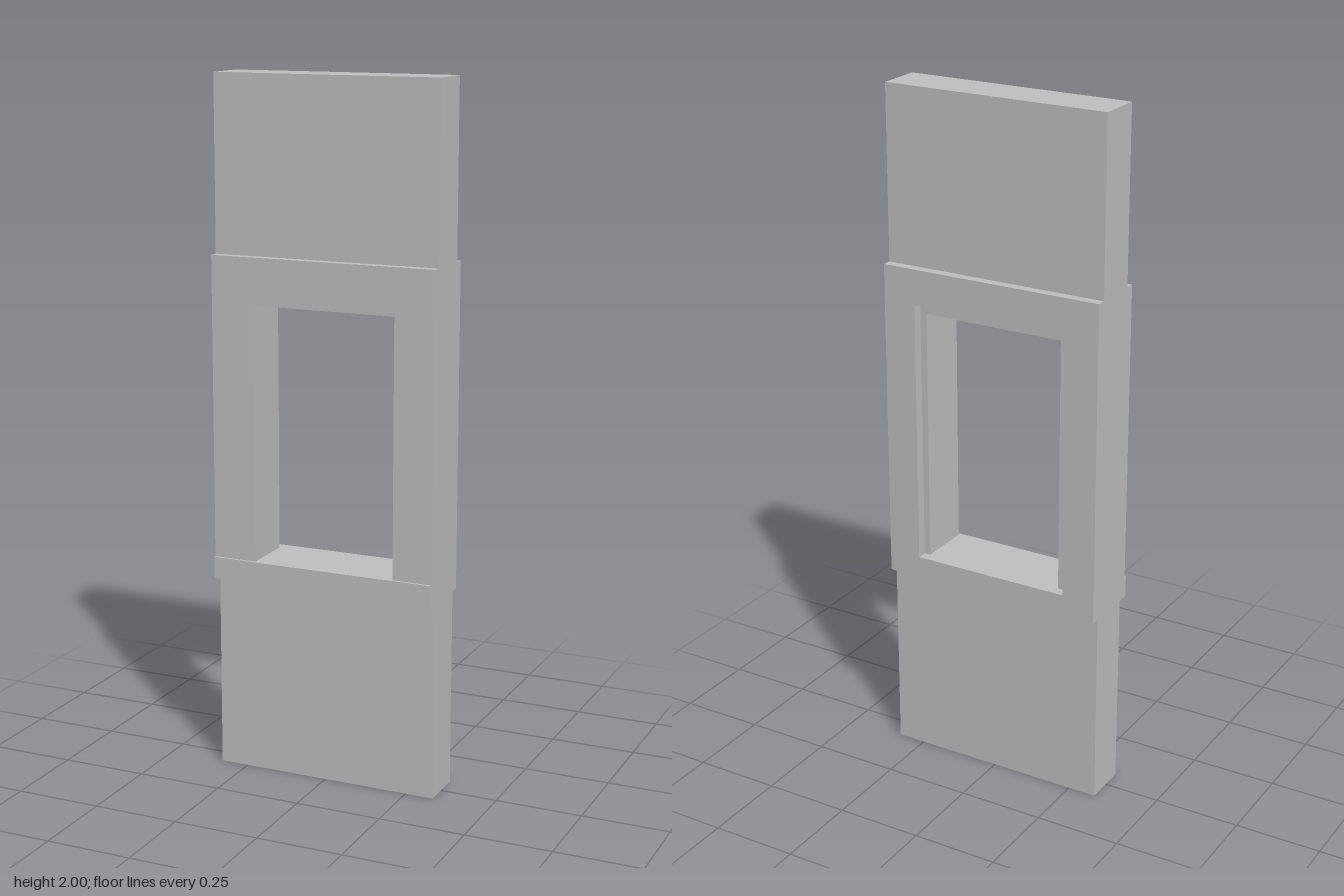
import * as THREE from 'three';

const HALF = 0.333;                          // half the panel width
const WALL = [-0.07, 0.062];                 // z range of the plain wall
const CASING_Y = [0.572, 1.503];             // y range of the thicker window section
const CASING_Z = [-0.097, -0.067, 0.089];    // back, rebate step, front
const SILL_TOP = 0.635;

export function createModel() {
  const group = new THREE.Group();
  const grey = new THREE.MeshStandardMaterial({ color: 0xc0c0c0 });
  grey.name = 'wall grey';

  const add = (name, geometry) => {
    const mesh = new THREE.Mesh(geometry, grey);
    mesh.name = name;
    group.add(mesh);
    return mesh;
  };

  // full-width block between two heights and two depths
  const block = (name, y0, y1, z0, z1) =>
    add(name, new THREE.BoxGeometry(2 * HALF, y1 - y0, z1 - z0))
      .position.set(0, (y0 + y1) / 2, (z0 + z1) / 2);

  // full-width slab with a rectangular window opening
  const frame = (name, x0, x1, top, z0, z1) => {
    const [y0, y1] = CASING_Y;
    const rect = (Type, a, b, c, d) => new Type([
      new THREE.Vector2(a, c), new THREE.Vector2(b, c),
      new THREE.Vector2(b, d), new THREE.Vector2(a, d),
    ]);
    const shape = rect(THREE.Shape, -HALF, HALF, y0, y1);
    shape.holes.push(rect(THREE.Path, x0, x1, SILL_TOP, top));
    const geometry = new THREE.ExtrudeGeometry(shape, { depth: z1 - z0, bevelEnabled: false });
    add(name, geometry).position.z = z0;
  };

  // plain wall below and above the window
  block('lowerWall', 0, CASING_Y[0], ...WALL);
  block('upperWall', CASING_Y[1], 2, ...WALL);

  // window surround, with a wider rebate at the back on the sides and top
  frame('windowSurround', -0.205, 0.217, 1.37, CASING_Z[1], CASING_Z[2]);
  frame('rebatedBackSurround', -0.235, 0.236, 1.4, CASING_Z[0], CASING_Z[1]);

  // shallow projecting sill band on the front
  block('sill', CASING_Y[0], SILL_TOP, CASING_Z[2], 0.097);

  return group;
}
